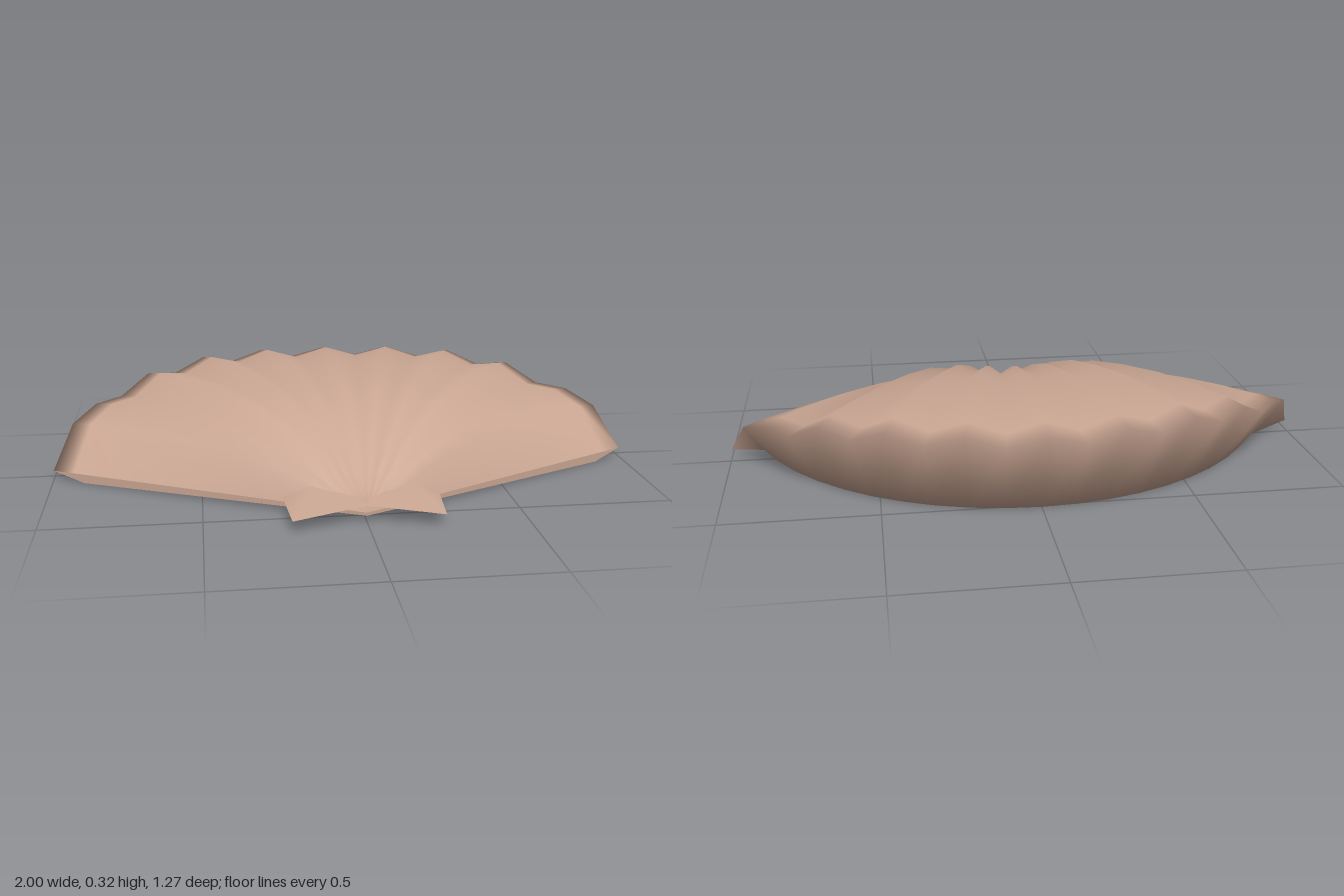
import * as THREE from 'three';

const APEX_Z = 0.56;              // hinge point where all ribs meet
const ARC_Z = 0.44, ARC_R = 1.08; // circle of the outer rim

// Per half rib, from the middle ridge to the side edge: rim angle (degrees) and crest height.
const ANGLES = [0, 6.7, 13.3, 20, 26.5, 33, 39.5, 46.5, 53.5, 60.5, 67.8];
const CRESTS = [0.316, 0.28, 0.318, 0.28, 0.314, 0.265, 0.286, 0.218, 0.218, 0.175, 0.03];

// Arch of the shell from the hinge to the rim: [distance, share of crest height].
const ARCH = [
  [0, 0.08], [0.075, 0.17], [0.133, 0.31], [0.217, 0.54], [0.317, 0.73], [0.43, 0.885],
  [0.55, 0.96], [0.69, 1], [0.82, 0.99], [0.93, 0.945], [1, 0.885],
];
const BASE_SCALE = 0.895;

// Point on a rib column j (-10..10) at share t of the way from hinge to rim.
function ribPoint(j, t, y) {
  const a = THREE.MathUtils.degToRad(ANGLES[Math.abs(j)]) * Math.sign(j);
  const x = ARC_R * Math.sin(a);
  const z = ARC_Z - ARC_R * Math.cos(a);
  return [x * t, y, APEX_Z + (z - APEX_Z) * t];
}

function makeGeometry(points, index) {
  const g = new THREE.BufferGeometry();
  g.setAttribute('position', new THREE.Float32BufferAttribute(points.flat(), 3));
  g.setIndex(index);
  g.computeVertexNormals();
  return g;
}

// Ribbed top, undercut wall and underside as one smooth skin of rows.
function shellGeometry() {
  const rows = ARCH.map(([t, s]) => (j) => ribPoint(j, t, 0.03 + (CRESTS[Math.abs(j)] - 0.03) * s));
  rows.push((j) => ribPoint(j, BASE_SCALE, 0));
  rows.push((j) => ribPoint(j, 0, 0.02));

  const points = [], index = [], n = 21;
  rows.forEach((row) => {
    for (let j = -10; j <= 10; j++) points.push(row(j));
  });
  for (let i = 0; i < rows.length - 1; i++) {
    for (let j = 0; j < n - 1; j++) {
      const a = i * n + j, b = a + 1, d = a + n, c = d + 1;
      if (i > 0) index.push(a, b, c);                // first row meets in one point
      if (i === 0) index.push(a, c, d);
      else if (i < rows.length - 2) index.push(a, c, d);
    }
  }
  return makeGeometry(points, index);
}

// Builds a flat-sided piece for one side; the mirrored side reverses the corners.
function sidePiece(points, triangles, side) {
  const p = points.map(([x, y, z]) => [x * side, y, z]);
  const index = triangles.flatMap(([a, b, c]) => (side > 0 ? [a, b, c] : [a, c, b]));
  return makeGeometry(p, index);
}

export function createModel() {
  const group = new THREE.Group();
  const shellColor = new THREE.MeshStandardMaterial({ color: 0xcaa693, side: THREE.DoubleSide });
  shellColor.name = 'shell pink';

  const add = (name, geometry) => {
    const mesh = new THREE.Mesh(geometry, shellColor);
    mesh.name = name;
    group.add(mesh);
  };

  add('ribbedShell', shellGeometry());

  for (const side of [1, -1]) {
    const label = side > 0 ? 'left' : 'right';

    // Thin straight edge closing the side between top and underside
    add(label + 'SideEdge', sidePiece(
      [[0, 0.02, APEX_Z], ribPoint(10, BASE_SCALE, 0), ribPoint(10, 1, 0.03), [0, 0.03, APEX_Z]],
      [[0, 1, 2], [0, 2, 3]], side));

    // Hinge ear
    add(label + 'HingeEar', sidePiece(
      [[0, 0.055, 0.565], [0.235, 0.04, 0.63], [0.25, 0.045, 0.43], [0.16, 0.085, 0.45], [0, 0.06, 0.47]],
      [[0, 1, 3], [1, 2, 3], [0, 3, 4]], side));
  }
  return group;
}
